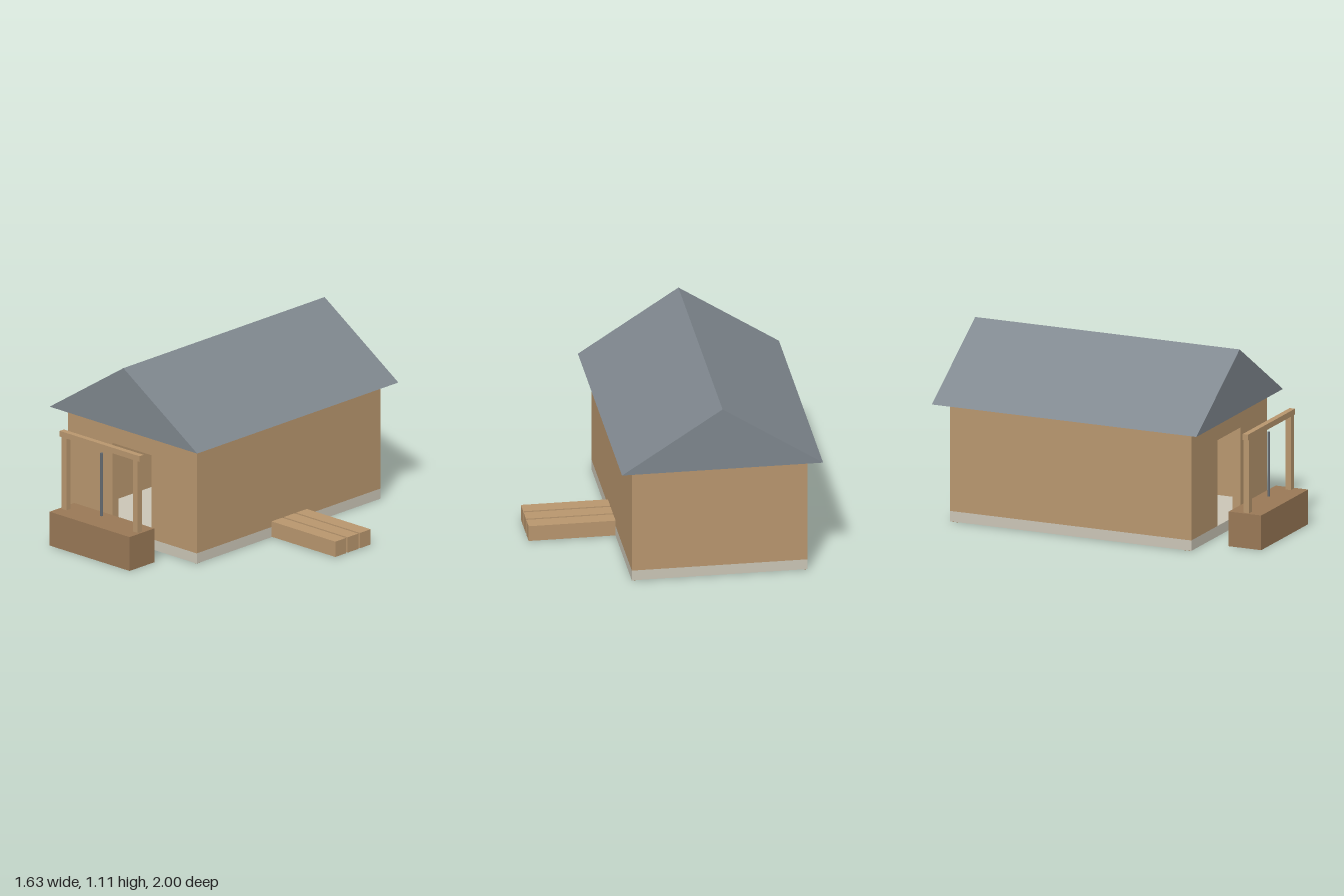
import * as THREE from 'three';

const mat = (color) => new THREE.MeshStandardMaterial({ color, flatShading: true });
const wood = mat(0xb8966e), darkWood = mat(0x997856), stone = mat(0xcac5b6);
const slate = mat(0x7e868d), iron = mat(0x646a70);

// Box given by its lower and upper corners
function block(parent, name, material, [x0, y0, z0], [x1, y1, z1]) {
  const mesh = new THREE.Mesh(new THREE.BoxGeometry(x1 - x0, y1 - y0, z1 - z0), material);
  mesh.position.set((x0 + x1) / 2, (y0 + y1) / 2, (z0 + z1) / 2);
  mesh.name = name;
  parent.add(mesh);
  return mesh;
}

// Flat outline extruded along z from z0 to z1
function extrude(parent, name, material, points, z0, z1) {
  const shape = new THREE.Shape(points.map(([x, y]) => new THREE.Vector2(x, y)));
  const geometry = new THREE.ExtrudeGeometry(shape, { depth: z1 - z0, bevelEnabled: false });
  const mesh = new THREE.Mesh(geometry, material);
  mesh.position.z = z0;
  mesh.name = name;
  parent.add(mesh);
  return mesh;
}

export function createModel() {
  const model = new THREE.Group();
  model.name = 'hutWithWell';

  // House: hollow walls on a stone slab, open doorway at the front
  const house = new THREE.Group();
  house.name = 'house';
  model.add(house);
  const L = -0.74, R = 0.3, B = -0.92, F = 0.64, floor = 0.065, top = 0.72, t = 0.05;
  block(house, 'foundation', stone, [L, 0.002, B], [R, floor, F]);
  block(house, 'leftWall', wood, [L, floor, B + t], [L + t, top, F - t]);
  block(house, 'rightWall', wood, [R - t, floor, B + t], [R, top, F - t]);
  block(house, 'backWall', wood, [L, floor, B], [R, top, B + t]);
  extrude(house, 'frontWall', wood, [
    [L, floor], [-0.38, floor], [-0.38, 0.585], [-0.065, 0.585],
    [-0.065, floor], [R, floor], [R, top], [L, top],
  ], F - t, F);

  // Corner posts run through the slab to the ground
  const p = 0.05, e = 0.003;
  for (const x of [L + e, R - e - p])
    for (const z of [B + e, F - e - p])
      block(house, 'cornerPost', darkWood, [x, 0, z], [x + p, top - e, z + p]);

  // Solid gable roof
  extrude(house, 'roof', slate, [[-0.82, top], [0.37, top], [-0.225, 1.105]], -1, 0.71);

  // Well with a hoist frame and hanging rod
  const well = new THREE.Group();
  well.name = 'well';
  model.add(well);
  block(well, 'wellBase', darkWood, [-0.545, 0, 0.79], [0.1, 0.21, 1]);
  for (const x of [-0.53, 0.045])
    block(well, 'framePost', wood, [x, 0.21, 0.88], [x + 0.04, 0.655, 0.915]);
  block(well, 'frameBeam', wood, [-0.545, 0.655, 0.88], [0.1, 0.69, 0.915]);
  const rod = new THREE.Mesh(new THREE.CylinderGeometry(0.009, 0.009, 0.39, 8), iron);
  rod.position.set(-0.223, 0.432, 0.897);
  rod.name = 'hangingRod';
  well.add(rod);

  // Timber stacked against the right-hand wall
  for (let i = 0; i < 3; i++) {
    const z = -0.295 + i * 0.105;
    block(model, 'timber', wood, [R, 0.005, z], [0.815, 0.1, z + 0.09]);
  }
  return model;
}
